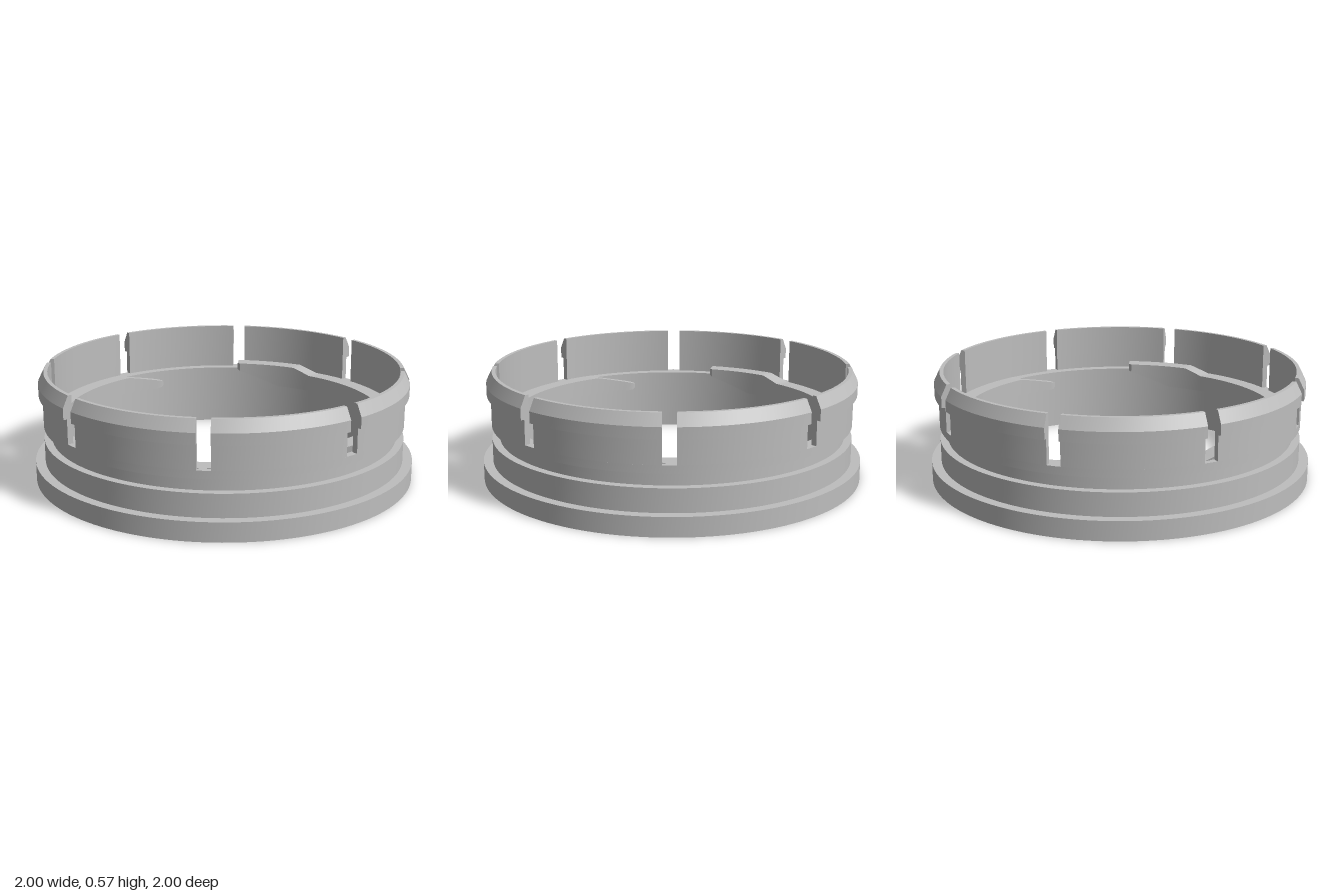
import * as THREE from 'three';
import { toCreasedNormals } from 'three/addons/utils/BufferGeometryUtils.js';

const RAD = Math.PI / 180;

// Sweeps a counter-clockwise loop of [radius, height, angle] points through its sections
function sweep(sections, capped) {
  const n = sections[0].length;
  const pos = [];
  const index = [];
  for (const loop of sections) {
    for (const [r, y, a] of loop) pos.push(r * Math.cos(a), y, r * Math.sin(a));
  }
  for (let i = 0; i < sections.length - 1; i++) {
    for (let j = 0; j < n; j++) {
      const a = i * n + j;
      const b = i * n + (j + 1) % n;
      index.push(a, b, a + n, b, b + n, a + n);
    }
  }
  if (capped) {
    const flat = sections[0].map(([r, y]) => new THREE.Vector2(r, y));
    const last = (sections.length - 1) * n;
    for (const [a, b, c] of THREE.ShapeUtils.triangulateShape(flat, [])) {
      index.push(a, c, b, last + a, last + b, last + c);
    }
  }
  const geo = new THREE.BufferGeometry();
  geo.setAttribute('position', new THREE.Float32BufferAttribute(pos, 3));
  geo.setIndex(index);
  return toCreasedNormals(geo, 25 * RAD);
}

export function createModel() {
  const model = new THREE.Group();
  model.name = 'bayonetRing';
  const grey = new THREE.MeshStandardMaterial({ color: 0xbebebe });
  grey.name = 'grey';

  const add = (name, geo, parent = model) => {
    const mesh = new THREE.Mesh(geo, grey);
    mesh.name = name;
    parent.add(mesh);
    return mesh;
  };

  // Lower ring: base flange, body, outer groove and inner ledge
  const bodyProfile = [
    [0.87, 0], [1, 0], [1, 0.1], [0.95, 0.1], [0.95, 0.22], [0.91, 0.22],
    [0.91, 0.29], [0.95, 0.29], [0.95, 0.33], [0.87, 0.33],
  ];
  const bodySections = [];
  for (let i = 0; i <= 144; i++) {
    const a = i / 144 * Math.PI * 2;
    bodySections.push(bodyProfile.map(([r, y]) => [r, y, a]));
  }
  add('bodyRing', sweep(bodySections, false));

  // Eight snap fingers with a chamfered lip, parted by parallel-sided slots
  const fingerProfile = [
    [0.92, 0.33], [0.95, 0.33], [0.95, 0.457], [0.97, 0.457],
    [0.97, 0.515], [0.94, 0.575], [0.92, 0.575],
  ];
  const fingerSections = [];
  for (let i = 0; i <= 18; i++) {
    fingerSections.push(fingerProfile.map(([r, y]) => {
      const gap = Math.asin(0.034 / r);
      return [r, y, gap + i / 18 * (Math.PI / 4 - 2 * gap)];
    }));
  }
  const fingerGeo = sweep(fingerSections, true);
  const fingers = new THREE.Group();
  fingers.name = 'snapFingers';
  model.add(fingers);
  for (let k = 0; k < 8; k++) add('snapFinger', fingerGeo, fingers).rotation.y = k * Math.PI / 4;

  // Bayonet tabs: [angle, bottom, top, inner radius], raised at one end, ramped at the other
  const keys = [
    [-135, 0.325, 0.365, 0.85], [-134, 0.32, 0.365, 0.835], [-118, 0.24, 0.365, 0.835],
    [-111, 0.24, 0.365, 0.835], [-104, 0.24, 0.331, 0.835], [-62, 0.24, 0.331, 0.835],
    [-48.5, 0.237, 0.285, 0.835], [-47, 0.24, 0.279, 0.838], [-46, 0.25, 0.272, 0.845],
  ];
  const tabSections = [];
  keys.forEach((key, i) => {
    const next = keys[i + 1];
    const steps = next ? Math.ceil((next[0] - key[0]) / 2.5) : 1;
    for (let s = 0; s < steps; s++) {
      const [deg, low, high, inner] = key.map((v, c) => (next ? v + (next[c] - v) * s / steps : v));
      const a = deg * RAD;
      tabSections.push([[inner, low, a], [0.922, low, a], [0.922, high, a], [inner, high, a]]);
    }
  });
  // Keep the hidden outer side of the tab clear of the outer groove
  for (const loop of tabSections) {
    loop[1][0] = 0.89;
    if (loop[2][1] < 0.33) loop[2][0] = 0.89;
  }
  const tabGeo = sweep(tabSections, true);
  const tabs = new THREE.Group();
  tabs.name = 'bayonetTabs';
  model.add(tabs);
  for (let k = 0; k < 3; k++) add('bayonetTab', tabGeo, tabs).rotation.y = -k * Math.PI * 2 / 3;

  return model;
}
